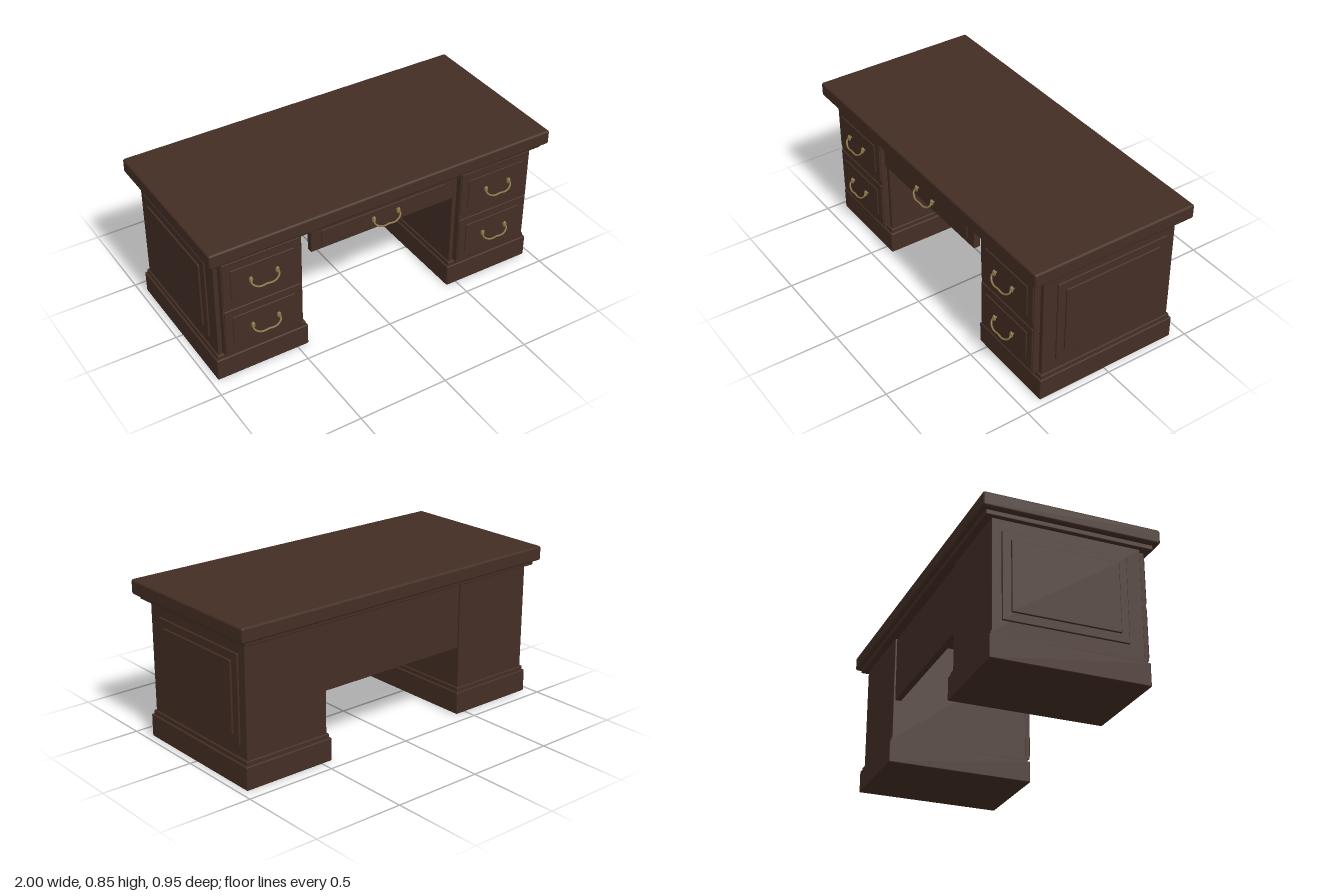
import * as THREE from 'three';
import { RoundedBoxGeometry } from 'three/addons/geometries/RoundedBoxGeometry.js';

const wood = new THREE.MeshStandardMaterial({ color: 0x442e24 });
wood.name = 'dark walnut';
const brass = new THREE.MeshStandardMaterial({ color: 0x8a7347 });
brass.name = 'aged brass';

// Softly rounded wooden block given by its extents on each axis
function block(name, [x0, x1], [y0, y1], [z0, z1], radius = 0.004) {
  const geometry = new RoundedBoxGeometry(x1 - x0, y1 - y0, z1 - z0, 2, radius);
  const mesh = new THREE.Mesh(geometry, wood);
  mesh.position.set((x0 + x1) / 2, (y0 + y1) / 2, (z0 + z1) / 2);
  mesh.name = name;
  return mesh;
}

// Swinging bail pull: two oval rosettes on posts and a drooping bar
function createHandle(x, y) {
  const handle = new THREE.Group();
  handle.name = 'drawerHandle';
  for (const side of [-1, 1]) {
    const rosette = new THREE.Mesh(new THREE.SphereGeometry(1, 16, 12), brass);
    rosette.scale.set(0.011, 0.019, 0.009);
    rosette.position.set(side * 0.073, 0, 0.441);
    rosette.name = 'rosette';
    const post = new THREE.Mesh(new THREE.CylinderGeometry(0.005, 0.005, 0.022, 10), brass);
    post.rotation.x = Math.PI / 2;
    post.position.set(side * 0.073, 0, 0.43);
    post.name = 'post';
    handle.add(rosette, post);
  }
  const half = [[0.073, 0.002, 0.445], [0.077, -0.012, 0.453], [0.066, -0.026, 0.462],
    [0.042, -0.036, 0.469], [0.02, -0.037, 0.47]];
  const points = [...half.map(([a, b, c]) => new THREE.Vector3(-a, b, c)),
    new THREE.Vector3(0, -0.035, 0.469),
    ...half.slice().reverse().map(([a, b, c]) => new THREE.Vector3(a, b, c))];
  const curve = new THREE.CatmullRomCurve3(points);
  const bail = new THREE.Mesh(new THREE.TubeGeometry(curve, 40, 0.005, 8), brass);
  bail.name = 'bail';
  handle.add(bail);
  handle.position.set(x, y, 0);
  return handle;
}

// Drawer front with a raised inner field and a handle
function createDrawer(name, x, halfOuter, outerY, halfInner, innerY, handleY, back) {
  const drawer = new THREE.Group();
  drawer.name = name;
  drawer.add(
    block('drawerFront', [x - halfOuter, x + halfOuter], outerY, [back, 0.421]),
    block('drawerField', [x - halfInner, x + halfInner], innerY, [0.41, 0.427], 0.003),
    createHandle(x, handleY),
  );
  return drawer;
}

// One pedestal; side is +1 for the model's left, -1 for its right
function createPedestal(side) {
  const pedestal = new THREE.Group();
  const c = side * 0.7;
  const across = (half) => [c - half, c + half];
  pedestal.name = side > 0 ? 'leftPedestal' : 'rightPedestal';
  pedestal.add(
    block('plinth', across(0.263), [0, 0.125], [-0.43, 0.4], 0.006),
    block('plinthMoulding', across(0.253), [0.115, 0.148], [-0.42, 0.39], 0.005),
    block('carcass', across(0.244), [0.14, 0.75], [-0.41, 0.38], 0.003),
    block('drawerFrame', across(0.221), [0.155, 0.75], [0.37, 0.415], 0.003),
    createDrawer('upperDrawer', c, 0.216, [0.467, 0.727], 0.175, [0.507, 0.68], 0.6, 0.4),
    createDrawer('lowerDrawer', c, 0.216, [0.175, 0.437], 0.175, [0.22, 0.393], 0.312, 0.4),
  );
  // Stepped panel on the outer side
  const outward = (a, b) => (side > 0 ? [a, b] : [-b, -a]);
  pedestal.add(
    block('sidePanelFrame', outward(0.93, 0.953), [0.21, 0.682], [-0.36, 0.3]),
    block('sidePanelField', outward(0.94, 0.962), [0.256, 0.638], [-0.315, 0.255]),
  );
  return pedestal;
}

export function createModel() {
  const desk = new THREE.Group();
  desk.name = 'desk';
  desk.add(
    block('desktop', [-1, 1], [0.77, 0.85], [-0.475, 0.47], 0.012),
    block('desktopMoulding', [-0.968, 0.968], [0.745, 0.775], [-0.449, 0.443], 0.005),
    block('modestyPanel', [-0.47, 0.47], [0.372, 0.75], [-0.4, -0.365], 0.003),
    createDrawer('centreDrawer', 0, 0.425, [0.606, 0.748], 0.367, [0.63, 0.72], 0.68, 0.385),
    createPedestal(1),
    createPedestal(-1),
  );
  return desk;
}
